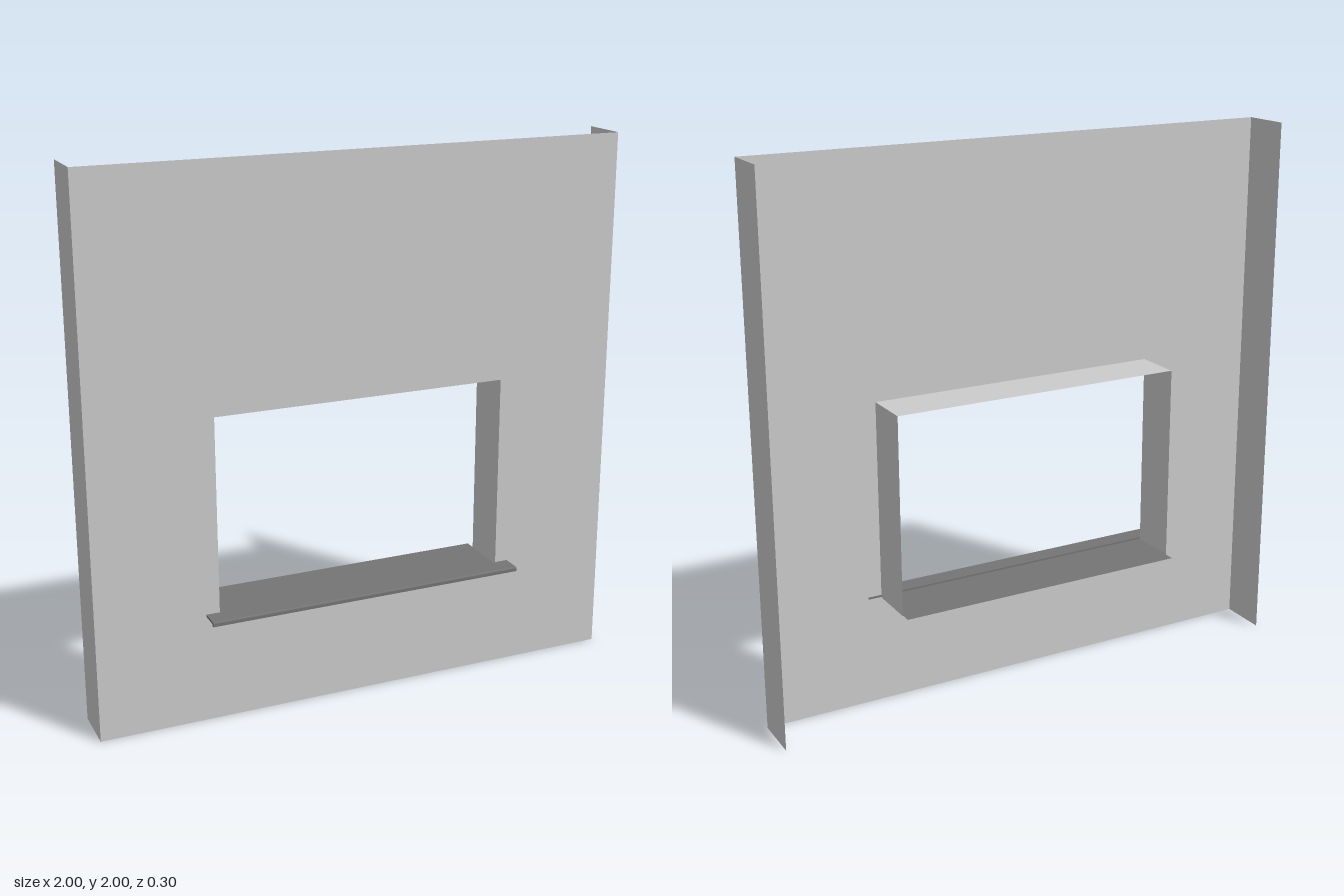
import * as THREE from 'three';

const FRONT = 0.07, BACK = -0.11;   // depth of the folded panel
const HALF = 0.55, LOW = 0.4, HIGH = 1.13; // window opening

export function createModel() {
  const group = new THREE.Group();
  const sheet = new THREE.MeshStandardMaterial({ color: 0xcccccc, side: THREE.DoubleSide });
  const dark = new THREE.MeshStandardMaterial({ color: 0x757575, side: THREE.DoubleSide });

  function add(name, geometry, material = sheet) {
    const mesh = new THREE.Mesh(geometry, material);
    mesh.name = name;
    group.add(mesh);
    return mesh;
  }
  const depth = FRONT - BACK, midZ = (FRONT + BACK) / 2;

  // Upright strip running back from the face; sign gives the outward side
  function sideStrip(name, x, y0, y1, sign) {
    const g = new THREE.PlaneGeometry(depth, y1 - y0).rotateY(sign * Math.PI / 2);
    add(name, g).position.set(x, (y0 + y1) / 2, midZ);
  }
  // Level strip between two depths
  function levelStrip(name, y, z0, z1, up, material) {
    const g = new THREE.PlaneGeometry(2 * HALF, z1 - z0).rotateX(-up * Math.PI / 2);
    add(name, g, material).position.set(0, y, (z0 + z1) / 2);
  }

  // Face with the window opening
  const face = new THREE.Shape([[-1, 0], [1, 0], [1, 2], [-1, 2]].map(p => new THREE.Vector2(...p)));
  face.holes.push(new THREE.Path(
    [[-HALF, LOW], [-HALF, HIGH], [HALF, HIGH], [HALF, LOW]].map(p => new THREE.Vector2(...p))));
  add('wallFace', new THREE.ShapeGeometry(face)).position.z = FRONT;

  // Outer returns and window reveals
  for (const [side, s] of [['left', 1], ['right', -1]]) {
    sideStrip(side + 'WallReturn', s, 0, 2, s);
    sideStrip(side + 'Reveal', s * HALF, LOW, HIGH, -s);
  }
  levelStrip('topReveal', HIGH, BACK, FRONT, -1);
  levelStrip('bottomReveal', LOW, BACK, FRONT, 1);

  // Thin inner sill reaching past the back of the opening
  levelStrip('innerSill', LOW + 0.003, -0.15, FRONT, 1, dark);

  // Outer sill with a rounded, turned-down drip edge: profile in (z, y)
  const p = new THREE.Shape();
  p.moveTo(FRONT, 0.402);
  p.lineTo(0.137, 0.402);
  p.lineTo(0.137, 0.394);
  p.lineTo(0.145, 0.394);
  p.lineTo(0.145, 0.404);
  p.quadraticCurveTo(0.145, 0.41, 0.139, 0.41);
  p.lineTo(FRONT, 0.41);
  p.closePath();
  const sill = new THREE.ExtrudeGeometry(p, { depth: 1.2, bevelEnabled: false, curveSegments: 4 });
  sill.translate(0, 0, -0.6).rotateY(-Math.PI / 2);
  add('outerSill', sill, dark);

  return group;
}
